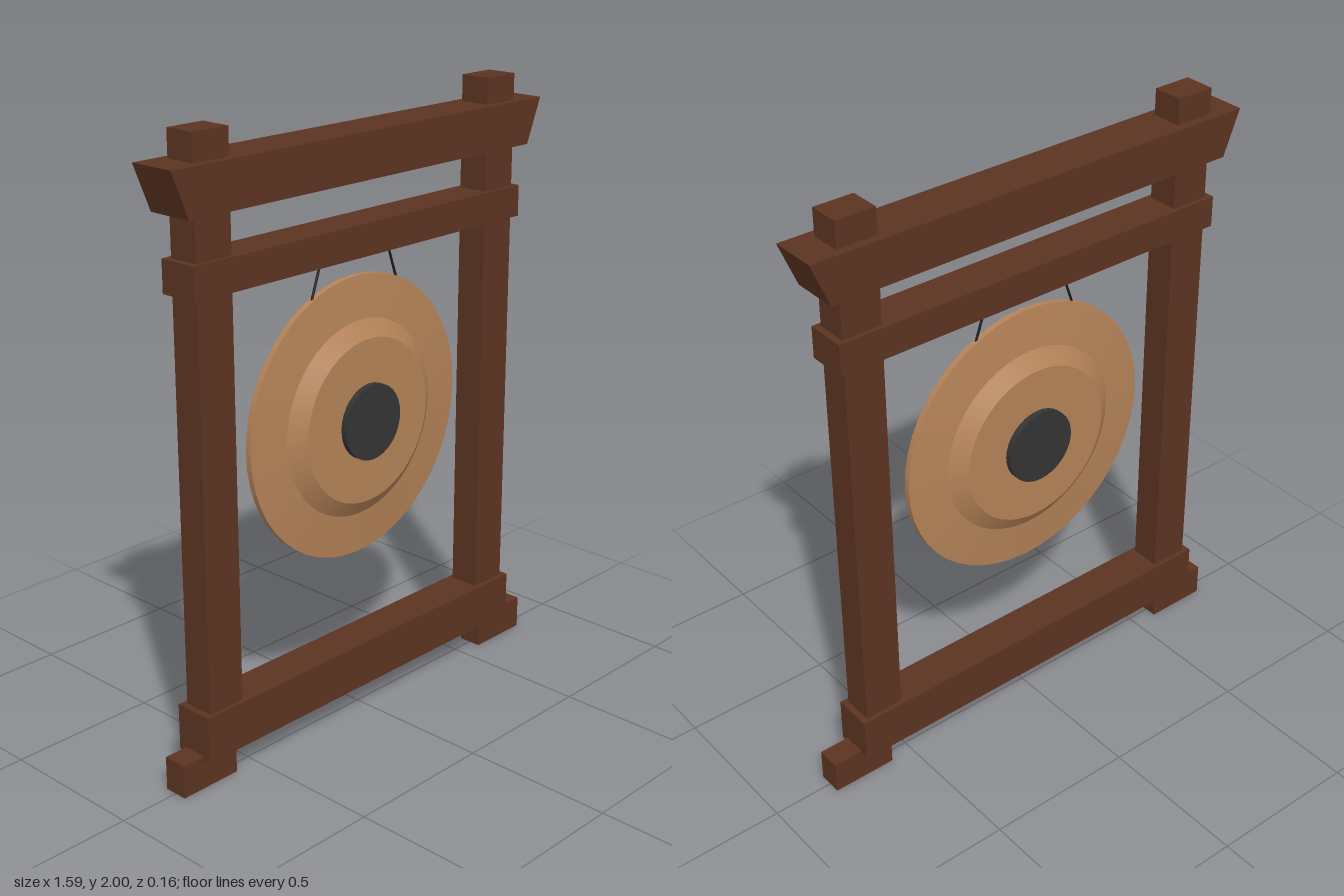
import * as THREE from 'three';
import { toCreasedNormals } from 'three/addons/utils/BufferGeometryUtils.js';

const makeMaterial = (name, color) => {
  const m = new THREE.MeshStandardMaterial({ color });
  m.name = name;
  return m;
};

export function createModel() {
  const group = new THREE.Group();
  group.name = 'gongOnStand';
  const wood = makeMaterial('darkWood', 0x5c3422);
  const bronze = makeMaterial('bronze', 0xb58358);
  const dark = makeMaterial('darkMetal', 0x343434);
  const cord = makeMaterial('cord', 0x1c1c1c);

  const add = (name, geometry, material) => {
    const mesh = new THREE.Mesh(geometry, material);
    mesh.name = name;
    group.add(mesh);
    return mesh;
  };

  // Box given by its x and y limits and its depth, centred on z = 0
  const beam = (name, x0, x1, y0, y1, depth) =>
    add(name, new THREE.BoxGeometry(x1 - x0, y1 - y0, depth), wood)
      .position.set((x0 + x1) / 2, (y0 + y1) / 2, 0);

  // Frame
  beam('rightFoot', -0.797, -0.583, 0, 0.11, 0.08);
  beam('leftFoot', 0.58, 0.797, 0, 0.11, 0.08);
  beam('rightPost', -0.695, -0.563, 0.12, 2, 0.103);
  beam('leftPost', 0.541, 0.674, 0.12, 2, 0.103);
  beam('lowerBeam', -0.717, 0.695, 0.095, 0.247, 0.133);
  beam('hangingBeam', -0.717, 0.695, 1.535, 1.637, 0.133);

  // Top beam with ends that flare outward toward the top
  const lintel = new THREE.Shape([
    [-0.738, 1.77], [0.717, 1.77], [0.777, 1.915], [-0.797, 1.915],
  ].map(([x, y]) => new THREE.Vector2(x, y)));
  add('topBeam', new THREE.ExtrudeGeometry(lintel, { depth: 0.157, bevelEnabled: false })
    .translate(0, 0, -0.0785), wood);

  // Gong: thin rim, raised centre, the same on both sides
  const cx = -0.011, cy = 1.005;
  const half = [[0.458, 0.01], [0.32, 0.023], [0.267, 0.06], [0, 0.06]];
  const profile = [...half.map(([r, z]) => [r, -z]).reverse(), ...half]
    .map(([r, z]) => new THREE.Vector2(r, z));
  const disc = toCreasedNormals(new THREE.LatheGeometry(profile, 48), 0.3);
  add('gongDisc', disc.rotateX(Math.PI / 2), bronze).position.set(cx, cy, 0);

  // Central boss, showing on both faces
  add('gongBoss', new THREE.CylinderGeometry(0.123, 0.123, 0.16, 32).rotateX(Math.PI / 2), dark)
    .position.set(cx, cy, 0);

  // Cords from the beam to the rim
  for (const [name, side] of [['rightCord', -1], ['leftCord', 1]]) {
    const path = new THREE.LineCurve3(
      new THREE.Vector3(cx + side * 0.141, 1.55, 0),
      new THREE.Vector3(cx + side * 0.19, 1.41, 0));
    add(name, new THREE.TubeGeometry(path, 1, 0.004, 8), cord);
  }

  return group;
}
